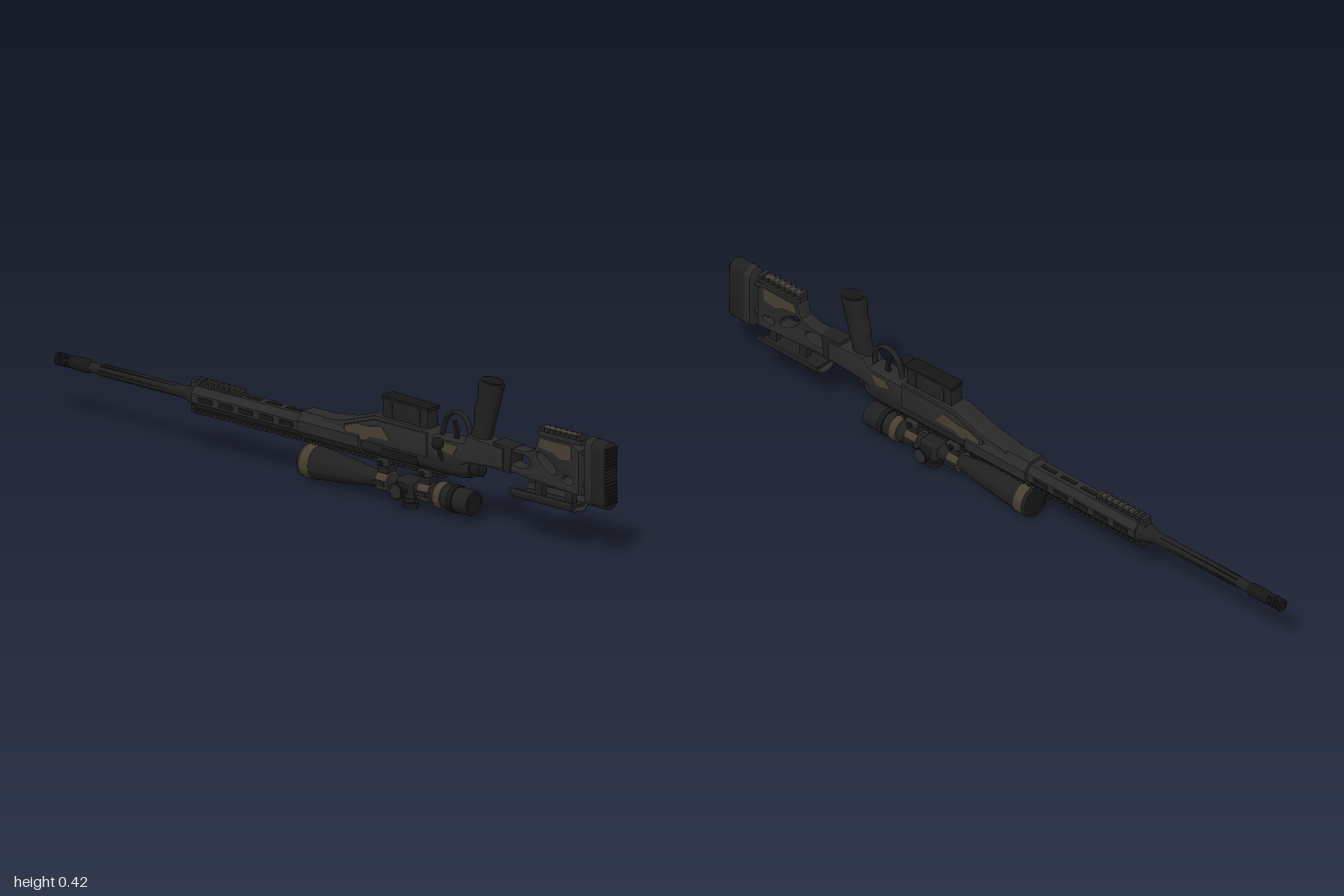
import * as THREE from 'three';
import { toCreasedNormals } from 'three/addons/utils/BufferGeometryUtils.js';
import { RoundedBoxGeometry } from 'three/addons/geometries/RoundedBoxGeometry.js';

const mat = (name, color) => new THREE.MeshStandardMaterial({ name, color });

export function createModel() {
  const charcoal = mat('charcoal', 0x292929);
  const dark = mat('dark grey', 0x202020);
  const black = mat('black', 0x161616);
  const olive = mat('olive', 0x474031);

  const root = new THREE.Group();
  root.name = 'invertedPrecisionRifle';
  root.position.x = 0.013;

  const add = (name, geo, m, x = 0, y = 0, z = 0) => {
    const mesh = new THREE.Mesh(geo, m);
    mesh.name = name;
    mesh.position.set(x, y, z);
    root.add(mesh);
    return mesh;
  };
  const box = (name, m, w, h, d, x, y, z) => add(name, new THREE.BoxGeometry(w, h, d), m, x, y, z);
  const round = (name, m, w, h, d, x, y, z, r = 0.006) =>
    add(name, new RoundedBoxGeometry(w, h, d, 2, r), m, x, y, z);

  // Side profile of [z, y] points extruded across x; holes are [z, y, rz, ry, tilt]
  const side = (name, m, pts, width, bevel = 0, holes = [], x = 0) => {
    const shape = new THREE.Shape(pts.map(([z, y]) => new THREE.Vector2(-z, y)));
    for (const [z, y, rz, ry, t = 0] of holes) {
      shape.holes.push(new THREE.Path().absellipse(-z, y, rz, ry, 0, Math.PI * 2, false, t));
    }
    const depth = width - 2 * bevel;
    const geo = new THREE.ExtrudeGeometry(shape, {
      depth, bevelEnabled: bevel > 0, bevelSize: bevel, bevelOffset: -bevel,
      bevelThickness: bevel, bevelSegments: 2, curveSegments: 10,
    });
    geo.translate(0, 0, -depth / 2).rotateY(Math.PI / 2);
    return add(name, toCreasedNormals(geo, 0.6), m, x);
  };
  // Turned part along z from [z, radius] points, with z increasing
  const turned = (name, m, pts, y, sides = 28) => {
    const geo = new THREE.LatheGeometry(pts.map(([z, r]) => new THREE.Vector2(r, z)), sides);
    return add(name, toCreasedNormals(geo.rotateX(Math.PI / 2), 0.5), m, 0, y);
  };
  // Toothed accessory rail; dir is the side the teeth point to
  const rail = (name, m, z0, z1, y, dir, w = 0.03) => {
    box(name, m, w * 0.8, 0.014, z1 - z0, 0, y, (z0 + z1) / 2);
    const n = Math.round((z1 - z0) / 0.02);
    for (let i = 0; i < n; i++) {
      box(name + 'Tooth', m, w, 0.011, 0.011, 0, y + dir * 0.011, z0 + (i + 0.5) * (z1 - z0) / n);
    }
  };

  // Barrel and muzzle brake
  const BY = 0.157;
  turned('barrel', dark, [[-0.89, 0], [-0.89, 0.014], [-0.55, 0.017], [-0.53, 0.019], [-0.5, 0.03], [0.02, 0.03], [0.02, 0]], BY);
  turned('brakeCollar', black, [[-0.955, 0], [-0.955, 0.015], [-0.945, 0.018], [-0.89, 0.019], [-0.88, 0.015], [-0.88, 0]], BY);
  for (const z of [-0.998, -0.976]) turned('brakeBaffle', black,
    [[z - 0.002, 0.007], [z - 0.002, 0.018], [z + 0.005, 0.018], [z + 0.005, 0.007], [z - 0.002, 0.007]], BY);
  for (const s of [-1, 1]) box('brakeStrip', black, 0.015, 0.005, 0.05, 0, BY + s * 0.013, -0.974);
  for (let i = 0; i < 6; i++) {
    const a = i * Math.PI / 3;
    box('barrelFlute', black, 0.004, 0.004, 0.28, Math.cos(a) * 0.0145, BY + Math.sin(a) * 0.0145, -0.7);
  }

  // Eight-sided handguard, narrower toward the muzzle
  const octagon = (name, m, w, y0, y1, z0, z1) => {
    const h = w / 2, c = h * 0.55, e = (y1 - y0) * 0.3;
    const s = new THREE.Shape([[-c, y0], [c, y0], [h, y0 + e], [h, y1 - e], [c, y1], [-c, y1], [-h, y1 - e], [-h, y0 + e]]
      .map(p => new THREE.Vector2(...p)));
    const geo = new THREE.ExtrudeGeometry(s, { depth: z1 - z0, bevelEnabled: false });
    return add(name, geo, m, 0, 0, z0);
  };
  octagon('handguard', charcoal, 0.07, 0.128, 0.19, -0.49, -0.09);
  octagon('handguardBase', charcoal, 0.086, 0.125, 0.2, -0.1, 0.12);
  for (let i = 0; i < 5; i++) {
    const z = -0.44 + i * 0.073;
    for (const s of [-1, 1]) round('sideSlot', black, 0.004, 0.014, 0.052, s * 0.0345, 0.159, z, 0.0018);
    if (i > 1) round('topSlot', black, 0.014, 0.004, 0.052, 0, 0.19, z, 0.0018);
  }
  rail('handguardRail', dark, -0.51, 0.4, 0.127, -1);
  rail('bipodRail', charcoal, -0.51, -0.33, 0.189, 1);
  box('bipodRailInlay', olive, 0.018, 0.004, 0.14, 0, 0.202, -0.4);

  // Receiver, chassis and sloped front of the magazine well
  turned('action', dark, [[0, 0], [0, 0.033], [0.47, 0.033], [0.5, 0.026], [0.5, 0]], 0.157);
  side('chassis', charcoal, [[0.63, 0.245], [0.5, 0.255], [0.485, 0.23], [0.37, 0.228], [0.35, 0.242], [0.17, 0.245],
    [0.06, 0.21], [-0.02, 0.2], [-0.02, 0.16], [0.46, 0.16], [0.5, 0.178], [0.63, 0.188]], 0.064, 0.006);
  side('wellFlare', charcoal, [[0.36, 0.235], [0.17, 0.235], [0.06, 0.2], [0.06, 0.165], [0.36, 0.165]], 0.076, 0.007);
  side('camoPatch', olive, [[0.2, 0.222], [0.15, 0.212], [0.11, 0.212], [0.07, 0.197], [0.07, 0.172], [0.14, 0.172],
    [0.16, 0.185], [0.23, 0.187]], 0.079);
  side('rearCamoPatch', olive, [[0.47, 0.22], [0.42, 0.222], [0.4, 0.2], [0.45, 0.19]], 0.067);
  box('ejectionPort', black, 0.006, 0.024, 0.13, -0.031, 0.148, 0.26);

  // Bolt handle
  const b0 = new THREE.Vector3(-0.025, 0.165, 0.41), b1 = new THREE.Vector3(-0.069, 0.228, 0.43);
  const curve = new THREE.CatmullRomCurve3([b0, new THREE.Vector3(-0.042, 0.188, 0.415), b1]);
  add('boltHandle', new THREE.TubeGeometry(curve, 8, 0.006, 10), dark);
  add('boltKnob', new THREE.SphereGeometry(0.017, 20, 14), black, b1.x, b1.y, b1.z);
  turned('boltShroud', black, [[0.49, 0], [0.49, 0.022], [0.53, 0.018], [0.54, 0]], 0.157);

  // Magazine with side ribs
  side('magazine', dark, [[0.352, 0.225], [0.35, 0.298], [0.19, 0.302], [0.186, 0.225]], 0.044, 0.004);
  side('magazineFloor', black, [[0.356, 0.29], [0.356, 0.3], [0.186, 0.304], [0.186, 0.294]], 0.048, 0.002);
  for (const z of [0.22, 0.32]) box('magazineRib', dark, 0.047, 0.045, 0.01, 0, 0.265, z);

  // Trigger and guard
  const guard = new THREE.CatmullRomCurve3([[0.485, 0.235], [0.482, 0.27], [0.46, 0.298], [0.425, 0.3], [0.4, 0.275], [0.385, 0.23]]
    .map(([z, y]) => new THREE.Vector3(0, y, z)));
  const guardGeo = new THREE.TubeGeometry(guard, 24, 0.005, 8);
  guardGeo.scale(2, 1, 1);
  add('triggerGuard', guardGeo, dark);
  side('trigger', black, [[0.445, 0.225], [0.43, 0.225], [0.433, 0.25], [0.425, 0.275], [0.432, 0.277], [0.442, 0.255]], 0.01);

  // Pistol grip: oval sections swept along a lean, with finger swells
  const grip = new THREE.CylinderGeometry(1, 1, 1, 24, 14);
  const gp = grip.attributes.position;
  for (let i = 0; i < gp.count; i++) {
    const t = gp.getY(i) + 0.5, x = gp.getX(i), z = gp.getZ(i);
    const swell = z < 0 ? 0.003 * Math.sin(t * 16) : 0;
    const zz = 0.524 + 0.042 * t + z * (0.031 + 0.008 * t + swell);
    gp.setXYZ(i, x * (0.023 + 0.006 * t), 0.235 + 0.185 * t - (zz - 0.566) * 0.1 * t - 0.004 * t, zz);
  }
  add('pistolGrip', toCreasedNormals(grip, 0.7), dark);
  const cap = new THREE.CylinderGeometry(0.024, 0.024, 0.004, 24);
  cap.scale(1, 1, 1.35);
  add('gripCap', cap, black, 0, 0.4155, 0.566).rotation.x = 0.1;

  // Skeleton stock
  side('hinge', dark, [[0.66, 0.252], [0.59, 0.257], [0.58, 0.18], [0.65, 0.178]], 0.054, 0.005);
  side('stockFrame', charcoal, [[0.895, 0.165], [0.895, 0.29], [0.87, 0.305], [0.75, 0.305], [0.735, 0.262], [0.7, 0.25],
    [0.63, 0.252], [0.62, 0.185], [0.72, 0.175]], 0.044, 0.005,
  [[0.682, 0.22, 0.038, 0.019], [0.778, 0.232, 0.042, 0.015, 0.6], [0.855, 0.2, 0.02, 0.012]]);
  side('stockCamoPatch', olive, [[0.87, 0.3], [0.76, 0.3], [0.75, 0.275], [0.8, 0.268], [0.83, 0.255], [0.87, 0.26]], 0.047);
  rail('monopodRail', charcoal, 0.745, 0.9, 0.312, 1, 0.036);
  box('monopodRailInlay', olive, 0.018, 0.005, 0.12, 0, 0.326, 0.82);
  for (const y of [0.19, 0.28]) {
    const rod = new THREE.CylinderGeometry(0.007, 0.007, 0.08, 12).rotateX(Math.PI / 2);
    add('buttRod', rod, dark, 0, y, 0.91);
  }

  // Curved cheekpiece on two posts
  for (const z of [0.74, 0.85]) box('cheekPost', dark, 0.018, 0.05, 0.025, 0, 0.152, z);
  const arc = new THREE.Shape();
  arc.absarc(0, 0, 0.04, Math.PI, Math.PI * 2, false);
  arc.absarc(0, 0, 0.034, Math.PI * 2, Math.PI, true);
  const cheek = new THREE.ExtrudeGeometry(arc, { depth: 0.22, bevelEnabled: false, curveSegments: 16 });
  cheek.scale(1, 0.9, 1);
  add('cheekpiece', toCreasedNormals(cheek, 0.6), charcoal, 0, 0.146, 0.663);
  box('cheekPlate', dark, 0.05, 0.008, 0.2, 0, 0.128, 0.775);

  // Butt plate and ribbed recoil pad
  const R = 0.027, pad = new THREE.Shape();
  pad.absarc(0, 0.305, R, 0, Math.PI, false);
  pad.absarc(0, 0.168, R, Math.PI, Math.PI * 2, false);
  const slab = (name, m, z, depth) => {
    const geo = new THREE.ExtrudeGeometry(pad, { depth: depth - 0.008, bevelSize: 0.004, bevelOffset: -0.004,
      bevelThickness: 0.004, bevelSegments: 2, curveSegments: 12 });
    add(name, toCreasedNormals(geo, 0.6), m, 0, 0, z + 0.004);
  };
  slab('buttPlate', charcoal, 0.918, 0.025);
  slab('recoilPad', dark, 0.941, 0.052);
  for (let i = 0; i < 17; i++) {
    const y = 0.16 + i * 0.0096, bow = 0.005 * Math.abs(i - 8) / 8;
    box('padRib', black, 0.044, 0.0045, 0.008 + bow, 0, y, 0.99 + bow / 2);
  }

  // Scope: eyepiece at the stock end, objective bell toward the muzzle
  const SY = 0.058;
  turned('scopeTube', dark, [[0.13, 0], [0.13, 0.022], [0.38, 0.022], [0.38, 0]], SY);
  turned('eyepiece', dark, [[0.35, 0.022], [0.375, 0.033], [0.495, 0.036], [0.5, 0.034], [0.5, 0.029], [0.494, 0.029], [0.494, 0]], SY, 36);
  turned('zoomRing', olive, [[0.38, 0.03], [0.38, 0.0375], [0.405, 0.0375], [0.405, 0.03]], SY, 36);
  turned('eyepieceRing', black, [[0.43, 0.03], [0.43, 0.038], [0.447, 0.038], [0.447, 0.03]], SY, 36);
  turned('objectiveBell', dark, [[-0.095, 0], [-0.095, 0.04], [-0.1, 0.04], [-0.1, 0.046], [-0.055, 0.047], [-0.045, 0.044],
    [0.06, 0.034], [0.135, 0.024], [0.15, 0.022]], SY, 36);
  turned('bellCamoBand', olive, [[-0.09, 0.045], [-0.09, 0.0475], [-0.06, 0.0475], [-0.06, 0.045]], SY, 36);
  turned('objectiveLens', black, [[-0.098, 0], [-0.098, 0.039], [-0.094, 0.039]], SY);
  turned('eyeLens', black, [[0.492, 0.028], [0.497, 0.028], [0.497, 0]], SY);

  // Turrets on both sides and underneath
  round('turretHousing', dark, 0.058, 0.056, 0.06, 0, SY, 0.27, 0.01);
  const turret = (name, turn, tip) => {
    const g = new THREE.Group();
    g.name = name;
    g.position.set(0, SY, 0.27);
    g.rotation.z = turn;
    for (const [r, h0, h1, m] of [[0.015, 0.02, tip - 0.014, dark], [0.023, tip - 0.018, tip - 0.003, black], [0.02, tip - 0.004, tip, charcoal]]) {
      const c = new THREE.Mesh(new THREE.CylinderGeometry(r, r, h1 - h0, 24), m);
      c.name = name + 'Section';
      c.position.y = (h0 + h1) / 2;
      g.add(c);
    }
    root.add(g);
  };
  turret('leftTurret', -Math.PI / 2, 0.059);
  turret('rightTurret', Math.PI / 2, 0.062);
  turret('elevationTurret', Math.PI, SY);

  // Scope rings and their clamps
  for (const z of [0.185, 0.335]) {
    turned('scopeRing', olive, [[z - 0.02, 0.02], [z - 0.02, 0.028], [z + 0.02, 0.028], [z + 0.02, 0.02]], SY);
    box('ringMount', dark, 0.03, 0.04, 0.036, 0, 0.1, z);
    round('ringClamp', charcoal, 0.05, 0.018, 0.04, 0, 0.113, z, 0.004);
    for (const s of [-1, 1]) {
      box('ringFlange', dark, 0.012, 0.012, 0.038, s * 0.03, SY, z);
      const nut = new THREE.CylinderGeometry(0.008, 0.008, 0.008, 6).rotateZ(Math.PI / 2);
      add('clampNut', nut, black, s * 0.028, 0.113, z);
    }
  }
  return root;
}
